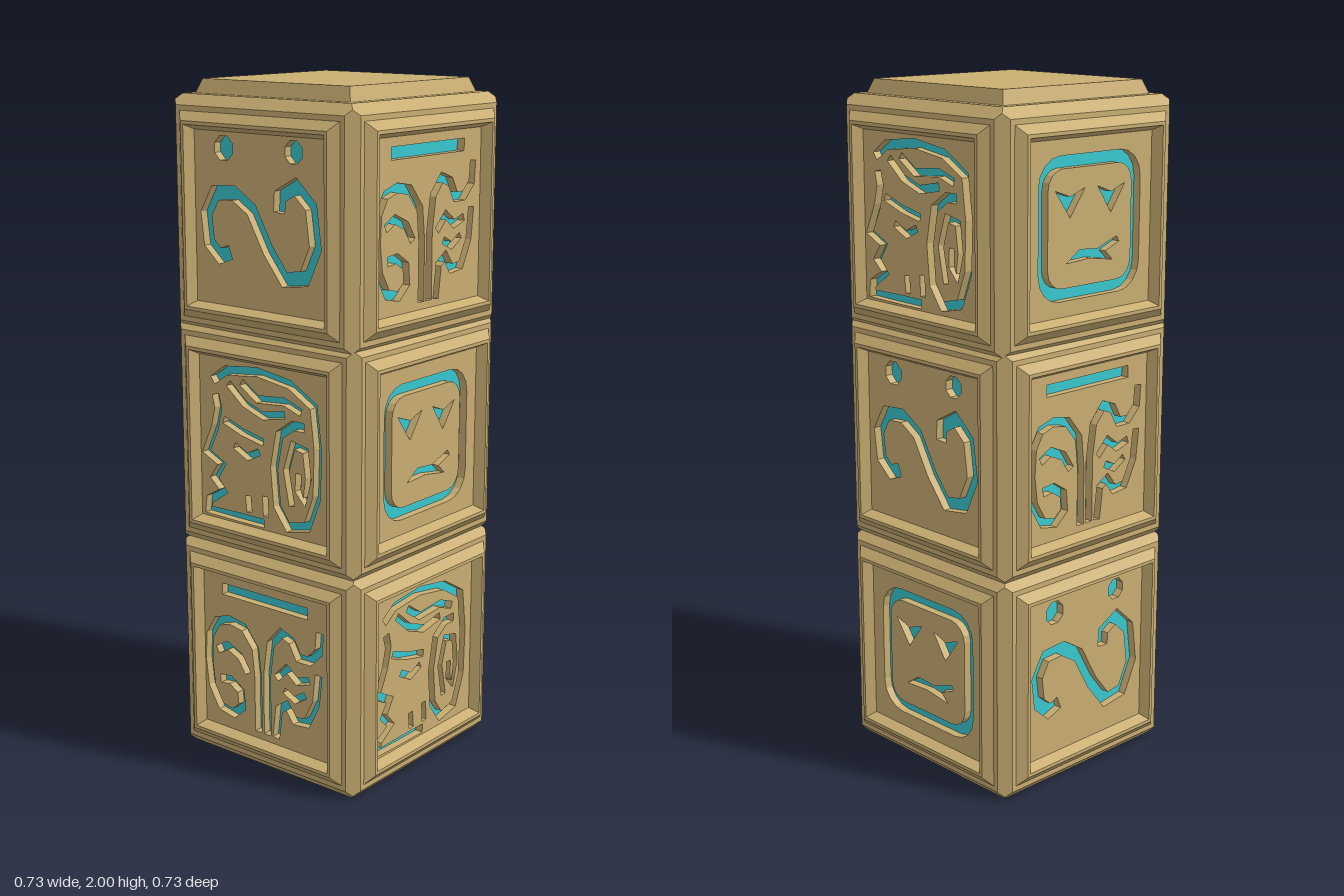
import * as THREE from 'three';

const tan = new THREE.MeshStandardMaterial({ color: 0xc9ae72, flatShading: true });
const teal = new THREE.MeshStandardMaterial({ color: 0x38c8d0 });

const FLOOR = 0.303, PANEL = 0.328; // depth of carving floor and panel face

function part(geometry, material, name) {
  const flat = geometry.index ? geometry.toNonIndexed() : geometry;
  flat.computeVertexNormals();
  const mesh = new THREE.Mesh(flat, material);
  mesh.name = name;
  return mesh;
}

// Carvings are laid out in hundredths of a unit
const v = (x, y) => new THREE.Vector2(x / 100, y / 100);
function polygon(...n) {
  const pts = [];
  for (let i = 0; i < n.length; i += 2) pts.push(v(n[i], n[i + 1]));
  return pts;
}

// Outline of a groove of the given width along a polyline
function groove(width, ...n) {
  const p = polygon(...n), left = [], right = [];
  p.forEach((c, i) => {
    const a = c.clone().sub(p[Math.max(i - 1, 0)]).normalize();
    const b = p[Math.min(i + 1, p.length - 1)].clone().sub(c).normalize();
    const dir = a.clone().add(b).normalize();
    const along = i ? a : b;
    const mitre = Math.min(1 / Math.max(dir.dot(along), 0.1), 1.3);
    const off = new THREE.Vector2(-dir.y, dir.x).multiplyScalar(width / 200 * mitre);
    left.push(c.clone().add(off));
    right.unshift(c.clone().sub(off));
  });
  return [...left, ...right];
}

function dot(x, y, r) {
  return Array.from({ length: 8 }, (_, i) =>
    v(x + r * Math.cos((i + 0.5) * Math.PI / 4), y + r * Math.sin((i + 0.5) * Math.PI / 4)));
}

function roundedSquare(half, r) {
  const pts = [];
  for (let q = 0; q < 4; q++) {
    const mid = (q + 0.5) * Math.PI / 2;
    const cx = Math.sign(Math.cos(mid)) * (half - r), cy = Math.sign(Math.sin(mid)) * (half - r);
    for (let i = 0; i <= 4; i++) {
      const a = (q + i / 4) * Math.PI / 2;
      pts.push(v(cx + r * Math.cos(a), cy + r * Math.sin(a)));
    }
  }
  return pts;
}

// Each carving lists its cut outlines, and optionally an island left standing
const archCarving = {
  cuts: [
    polygon(-16.7, 18, 16.1, 18, 16.1, 21.5, -16.7, 21.5),
    groove(2.6, -3, -22, -3, -5, -4, 4, -8.5, 9.5, -14, 10.5, -19, 9, -22, 4, -22.5, -4,
      -21.5, -12, -18, -18, -13, -19, -9.5, -16, -10, -11, -14, -8.5, -18, -9),
    groove(2.4, -19, 0, -15, 2.2, -10, 0, -7, -4.5),
    groove(2.6, 0.5, -22, 0.5, -3, 2, 7, 6, 11.5, 10, 10, 12.5, 5.5, 16.5, 5.5, 20, 9, 20.5, 15),
    groove(2.5, 20, 2, 19, -7, 15.5, -14, 11, -14.5, 8, -10.5, 5, -12.5, 3.8, -22),
    groove(2.2, 4, -3, 8, 1, 12, -2, 16.5, -0.5),
    groove(2, 7, -6, 11, -8, 15, -5.5),
  ],
};

const profileCarving = {
  cuts: [
    groove(2.6, -19, 17, -14, 20.5, -2, 21.8, 10, 20, 18.5, 15, 20, 3, 19.5, -11, 16, -20,
      9, -21.5, 5, -16, 4, -5, 6, 5, 11, 8.5, 15, 8.5),
    groove(2, 10.5, -15, 8.5, -5, 11, 3, 15.5, 2, 16.5, -6, 15, -13, 12.7, -10, 13, -5),
    groove(2.6, -18, 13, -17, 9, -18.5, 3, -22, -4.5, -16, -7.5, -19, -12, -15.5, -15.5,
      -21, -19, -21.5, -22.2, -10, -22.2, 0, -22.2),
    groove(2.2, -13, 17, -7, 12, 0, 9.5, 8, 11),
    groove(2.2, -8, 18, -2, 14, 8, 14.8, 14, 12.7),
    groove(2.2, -15, 6, -8, 3.5, 0, 1.8),
    groove(2, -11, -1, -6, -3.5, -1.5, -1.3),
    groove(2, -6, -15, -5.5, -20),
    groove(2, 0.5, -14, 0.8, -20),
  ],
};

const faceCarving = {
  cuts: [roundedSquare(19.7, 8)],
  island: roundedSquare(16.2, 5.5),
  islandCuts: [
    polygon(-13.5, 10.5, -7.8, 8.5, -2.2, 10.5, -7.8, 2.8),
    polygon(13.5, 10.5, 8, 8.5, 2.8, 10.5, 8, 2.8),
    polygon(-9, -9.5, -4, -6.2, 3, -6.7, 10.5, -4, 11.5, -5.6, 6, -7.7, 9, -10.4, 0, -9),
  ],
};

const curlCarving = {
  cuts: [
    dot(-13, 19.5, 3.6),
    dot(12.5, 20, 3.3),
    groove(4, -11, -9, -15, -10.5, -19, -7, -20, 1, -16.5, 7, -9.5, 7.5, -3, 3.5, 3, -7,
      9, -14.5, 16, -13.5, 20, -5, 18.5, 6, 13, 11, 7.5, 8, 7.2, 3.5),
  ],
};

function slab(outline, cuts) {
  const shape = new THREE.Shape(outline);
  shape.holes = cuts.map((c) => new THREE.Path(c));
  const g = new THREE.ExtrudeGeometry(shape, { depth: PANEL - FLOOR, bevelEnabled: false });
  return g.translate(0, 0, FLOOR);
}

// Square rings given as [half width, height], made as a four-sided lathe
function squareRings(profile) {
  const pts = profile.map(([r, h]) => new THREE.Vector2(r * Math.SQRT2, h));
  return new THREE.LatheGeometry(pts, 4, Math.PI / 4);
}

const BEVEL = [[0.32, 0.32], [0.305, 0.335], [0.29, 0.335]];
const FRAME = [...BEVEL, [0.265, 0.358], [0.255, 0.358], [0.24, PANEL - 0.002]];

function carvedSide(carving) {
  const side = new THREE.Group();
  side.name = 'carvedSide';
  side.add(part(squareRings(FRAME).rotateX(Math.PI / 2), tan, 'frame'));
  side.add(part(slab(polygon(-24.5, -24.5, 24.5, -24.5, 24.5, 24.5, -24.5, 24.5), carving.cuts), tan, 'panel'));
  if (carving.island) side.add(part(slab(carving.island, carving.islandCuts), tan, 'panelIsland'));
  const floor = new THREE.PlaneGeometry(0.48, 0.48).translate(0, 0, FLOOR + 0.001);
  side.add(part(floor, teal, 'carvingFloor'));
  return side;
}

function createBlock(name, hasCap) {
  const block = new THREE.Group();
  block.name = name;
  [archCarving, profileCarving, faceCarving, curlCarving].forEach((carving, i) => {
    const side = carvedSide(carving);
    side.rotation.y = i * Math.PI / 2;
    block.add(side);
  });
  // Lids: the top block carries a raised cap
  const cap = hasCap ? [[0.28, 0.335], [0.265, 0.375], [0, 0.375]] : [[0, 0.335]];
  block.add(part(squareRings([...BEVEL, ...cap]), tan, 'topLid'));
  block.add(part(squareRings([...BEVEL, [0, 0.335]]).rotateX(Math.PI), tan, 'bottomLid'));
  return block;
}

export function createModel() {
  const model = new THREE.Group();
  model.name = 'totem';
  // Stacked blocks, each turned to show a different carving
  [
    ['bottomBlock', 0.335, -Math.PI / 2 - 0.01],
    ['middleBlock', 0.99, Math.PI - 0.01],
    ['topBlock', 1.625, -0.023],
  ].forEach(([name, y, turn]) => {
    const block = createBlock(name, name === 'topBlock');
    block.position.y = y;
    block.rotation.y = turn;
    model.add(block);
  });
  return model;
}
